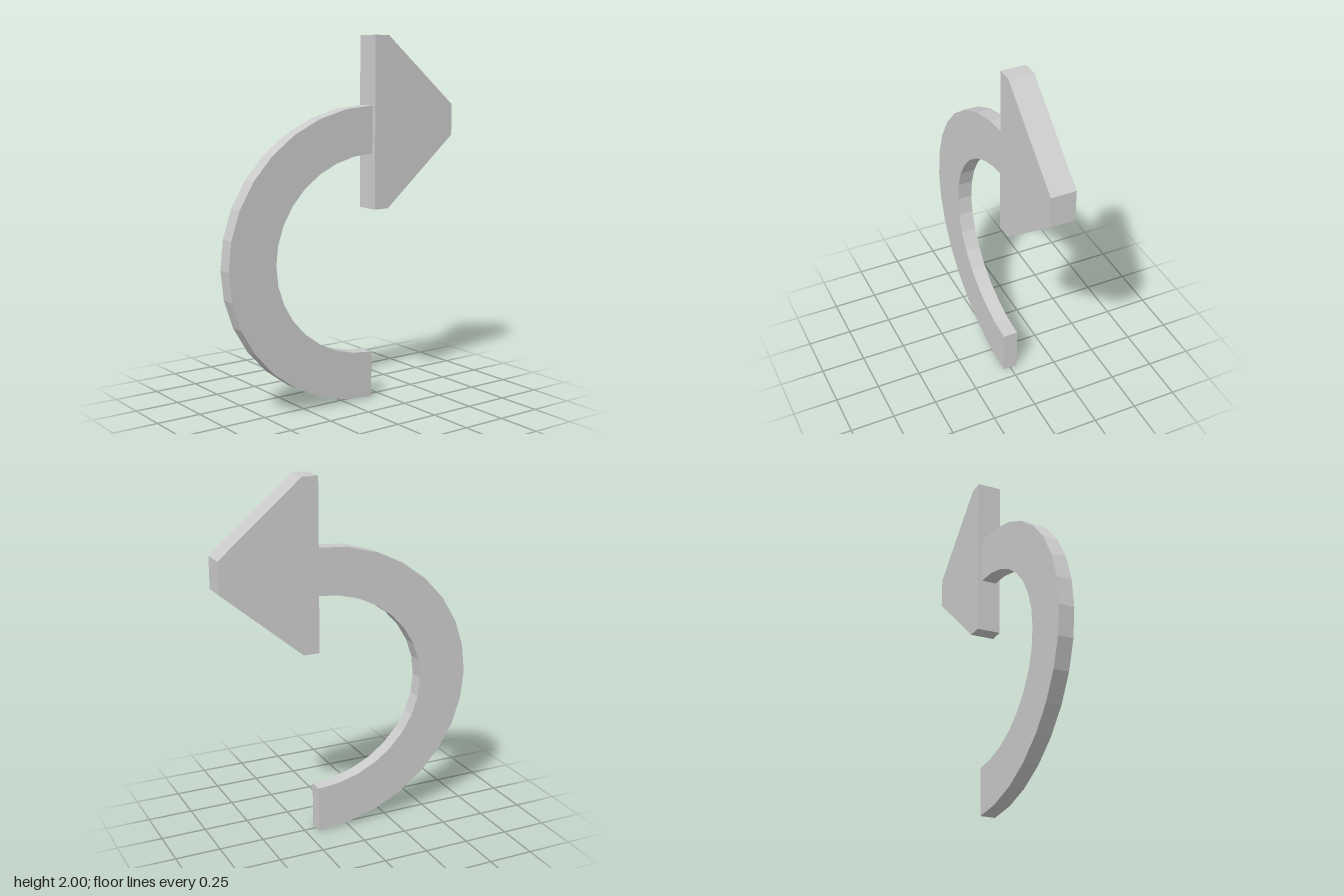
import * as THREE from 'three';

const material = new THREE.MeshStandardMaterial({ color: 0xcccccc, flatShading: true });

// Flat outline extruded symmetrically about z = 0
function plate(name, points, depth) {
  const geometry = new THREE.ExtrudeGeometry(new THREE.Shape(points), { depth, bevelEnabled: false });
  geometry.translate(0, 0, -depth / 2);
  const mesh = new THREE.Mesh(geometry, material);
  mesh.name = name;
  return mesh;
}

// Left half of an ellipse, from top to bottom
function halfEllipse(cx, cy, rx, ry, segments) {
  const points = [];
  for (let i = 0; i <= segments; i++) {
    const a = Math.PI / 2 + (Math.PI * i) / segments;
    points.push(new THREE.Vector2(cx + rx * Math.cos(a), cy + ry * Math.sin(a)));
  }
  return points;
}

export function createModel() {
  const group = new THREE.Group();
  group.name = 'curvedArrow';

  // Curved shaft: outer edge down, inner edge back up
  const outer = halfEllipse(0.18, 0.8125, 0.91, 0.8125, 16);
  const inner = halfEllipse(0.18, 0.8125, 0.625, 0.553, 16).reverse();
  group.add(plate('curvedShaft', [...outer, ...inner], 0.083));

  // Blunt arrowhead, mirrored about its centre line
  const midY = 1.53;
  const half = [[0.18, 0.47], [0.27, 0.47], [0.727, 0.086]];
  const upper = half.map(([x, y]) => new THREE.Vector2(x, midY + y));
  const lower = half.map(([x, y]) => new THREE.Vector2(x, midY - y)).reverse();
  group.add(plate('arrowHead', [...upper, ...lower], 0.135));

  return group;
}
